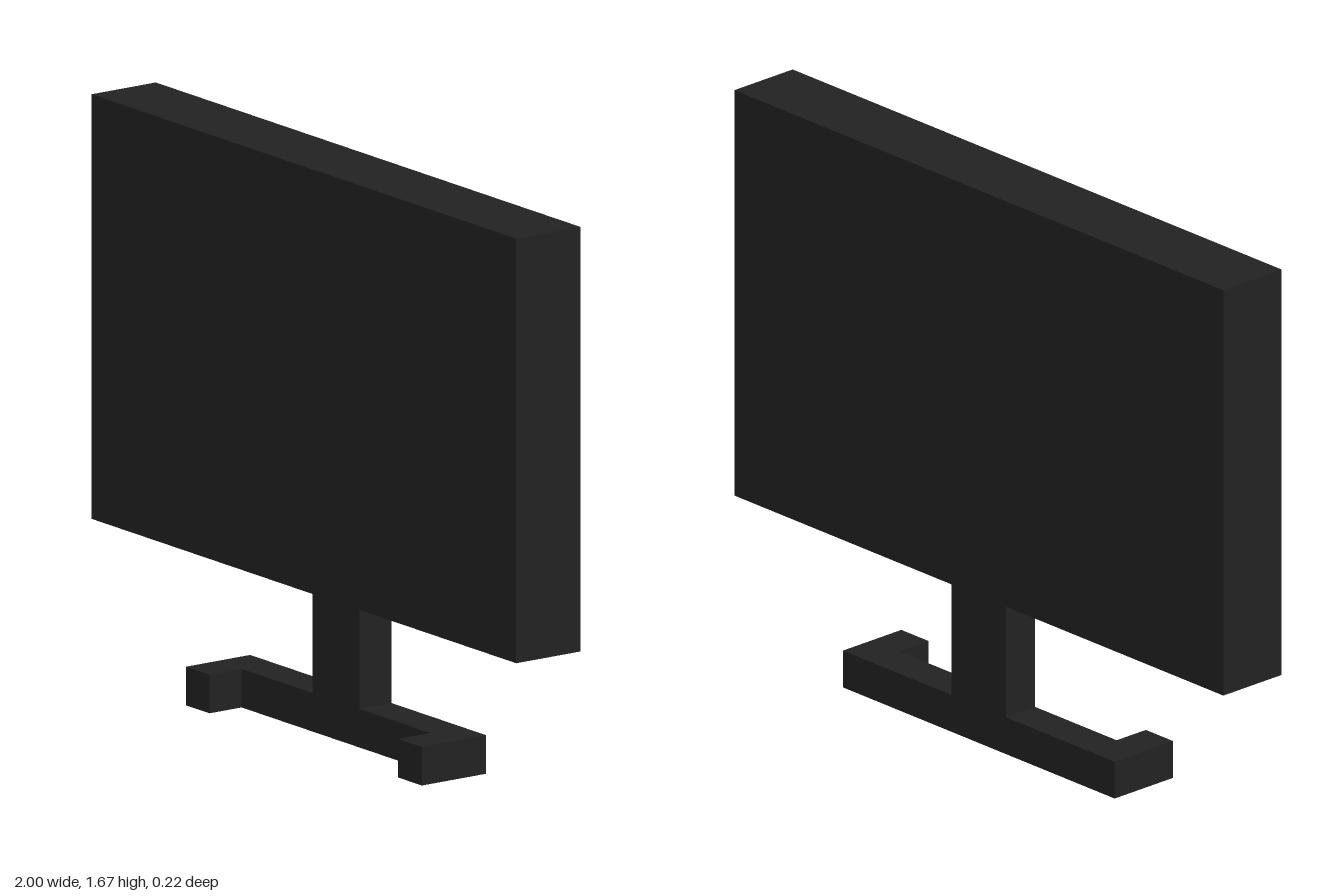
import * as THREE from 'three';

const U = 1 / 9; // modelling unit: the screen is 18 units wide

export function createModel() {
  const model = new THREE.Group();
  model.name = 'monitor';

  const blackPlastic = new THREE.MeshStandardMaterial({ color: 0x222222 });
  blackPlastic.name = 'blackPlastic';

  // Adds a box spanning two opposite corners, given in units
  function box(name, parent, [x0, y0, z0], [x1, y1, z1]) {
    const geometry = new THREE.BoxGeometry((x1 - x0) * U, (y1 - y0) * U, (z1 - z0) * U);
    const mesh = new THREE.Mesh(geometry, blackPlastic);
    mesh.name = name;
    mesh.position.set((x0 + x1) * U / 2, (y0 + y1) * U / 2, (z0 + z1) * U / 2);
    parent.add(mesh);
  }

  // Display panel
  box('screen', model, [-9, 4, -1], [9, 15, 1]);

  // Stand: neck and rear bar flush with the back, with a foot forward at each end
  const stand = new THREE.Group();
  stand.name = 'stand';
  model.add(stand);
  box('neck', stand, [-1, 1, -1], [1, 4, 0]);
  box('baseBar', stand, [-5, 0, -1], [5, 1, 0]);
  box('leftFoot', stand, [4, 0, 0], [5, 1, 1]);
  box('rightFoot', stand, [-5, 0, 0], [-4, 1, 1]);

  return model;
}
